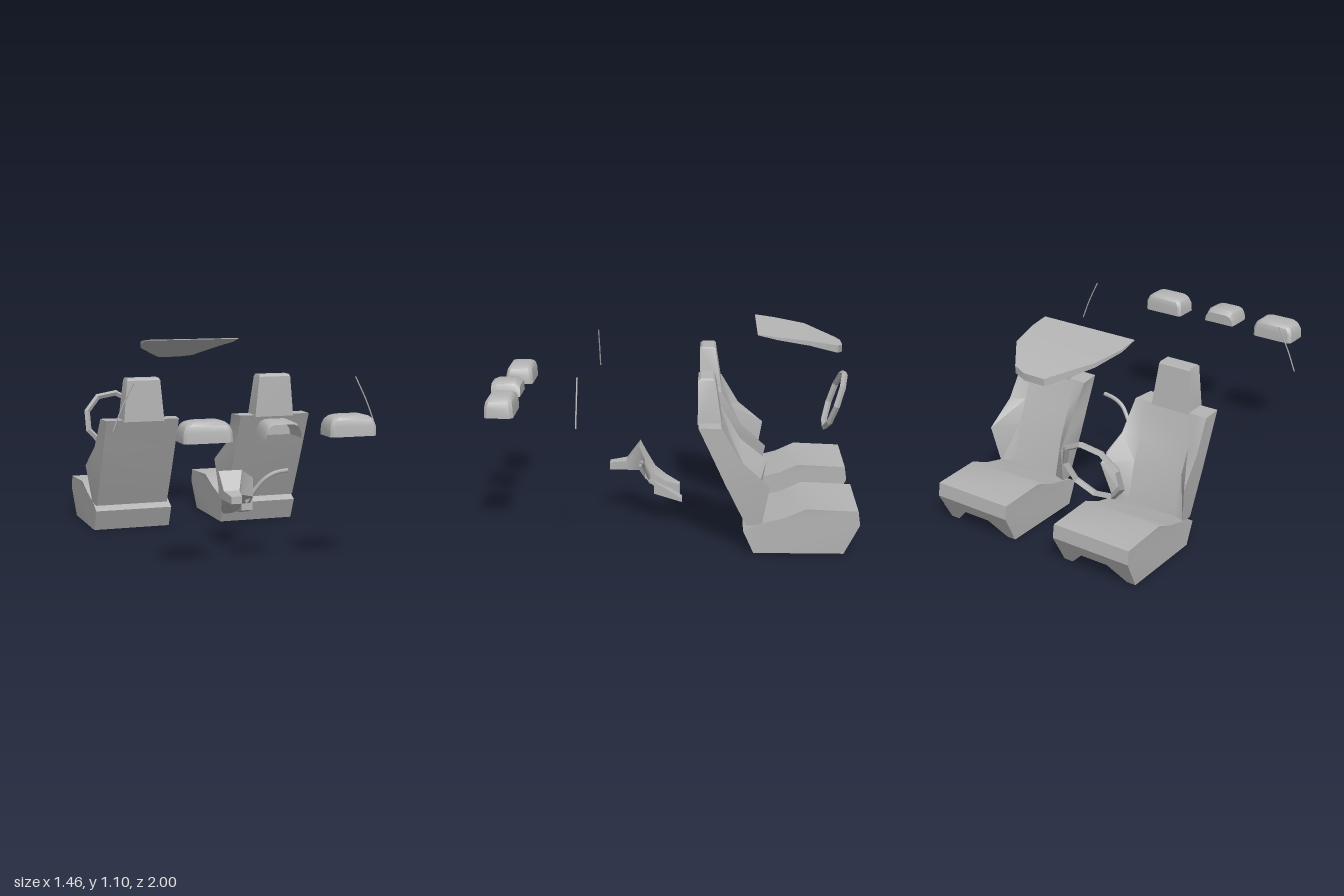
import * as THREE from 'three';
import { toCreasedNormals } from 'three/addons/utils/BufferGeometryUtils.js';

const grey = new THREE.MeshStandardMaterial({ color: 0xb4b4b4, side: THREE.DoubleSide });
grey.name = 'grey trim';

// Skin a series of equal-length rings; caps are optional and the faces are turned outward
function loft(rings, capStart = true, capEnd = true, crease = 0.5) {
  const n = rings[0].length, pos = rings.flat(2), idx = [];
  for (let r = 0; r < rings.length - 1; r++) {
    for (let i = 0; i < n; i++) {
      const j = (i + 1) % n, a = r * n + i, b = r * n + j;
      idx.push(a, b, b + n, a, b + n, a + n);
    }
  }
  const cap = (ring, start, flip) => {
    const c = [0, 1, 2].map(k => ring.reduce((s, p) => s + p[k], 0) / n);
    const m = pos.length / 3;
    pos.push(...c);
    for (let i = 0; i < n; i++) {
      const j = (i + 1) % n;
      idx.push(m, start + (flip ? j : i), start + (flip ? i : j));
    }
  };
  if (capStart) cap(rings[0], 0, true);
  if (capEnd) cap(rings[rings.length - 1], (rings.length - 1) * n, false);
  const v = k => new THREE.Vector3().fromArray(pos, k * 3);
  const mid = rings.flat().reduce((s, p) => s.add(new THREE.Vector3(...p)), new THREE.Vector3())
    .divideScalar(n * rings.length);
  let volume = 0;
  for (let t = 0; t < idx.length; t += 3) {
    const [a, b, c] = [0, 1, 2].map(k => v(idx[t + k]).sub(mid));
    volume += a.dot(b.cross(c));
  }
  if (volume < 0) idx.reverse();
  const g = new THREE.BufferGeometry();
  g.setAttribute('position', new THREE.Float32BufferAttribute(pos, 3));
  g.setIndex(idx);
  return toCreasedNormals(g, crease);
}

function part(name, geometry, parent) {
  const mesh = new THREE.Mesh(geometry, grey);
  mesh.name = name;
  parent.add(mesh);
  return mesh;
}

// Box-like section across x at one z
const section = (z, x0, x1, y0, y1) => [[x0, y0, z], [x1, y0, z], [x1, y1, z], [x0, y1, z]];

// One front seat, facing -z; s is its side, inner the reach of its inner bolster
function seat(s, inner) {
  const g = new THREE.Group();
  g.name = s > 0 ? 'leftSeat' : 'rightSeat';

  // Backrest: back corners, bolster tips and a recessed front panel
  const levels = [
    // y, back z, panel z, bolster z, inner x, outer x
    [0.15, -0.4, -0.45, -0.48, 0.17, 0.61],
    [0.37, -0.29, -0.39, -0.52, inner, 0.64],
    [0.5, -0.23, -0.33, -0.37, inner + 0.035, 0.62],
    [0.67, -0.15, -0.265, -0.27, 0.17, 0.61],
  ];
  part('backrest', loft(levels.map(([y, zb, zp, zt, xi, xo]) => [
    [s * 0.185, y, zb], [s * 0.605, y, zb], [s * xo, y, zt],
    [s * 0.54, y, zp], [s * 0.245, y, zp], [s * xi, y, zt],
  ])), g);

  // Headrest
  const rest = (y, x0, x1, z0, z1) =>
    [[s * x0, y, z0], [s * x1, y, z0], [s * x1, y, z1], [s * x0, y, z1]];
  part('headrest', loft([
    rest(0.66, 0.272, 0.505, -0.145, -0.27),
    rest(0.89, 0.295, 0.485, -0.145, -0.235),
    rest(0.902, 0.3, 0.48, -0.16, -0.225),
  ]), g);

  // Cushion: hollow skin from the rear foot over the top to the front lip
  const profile = [[-0.44, 0], [-0.385, 0.12], [-0.45, 0.155], [-0.6, 0.195],
    [-0.71, 0.245], [-0.98, 0.235], [-0.99, 0.16], [-0.91, 0]];
  const half = [0.225, 0.225, 0.225, 0.225, 0.23, 0.23, 0.232, 0.222];
  const pos = [], idx = [];
  profile.forEach(([z, y], i) => [-1, 1].forEach(e => pos.push(s * 0.387 + e * half[i], y, z)));
  for (let i = 0; i < 6; i++) idx.push(2 * i, 2 * i + 1, 2 * i + 3, 2 * i, 2 * i + 3, 2 * i + 2);
  const outline = profile.map(([z, y]) => new THREE.Vector2(z, y));
  THREE.ShapeUtils.triangulateShape(outline, []).forEach(([a, b, c]) => {
    idx.push(2 * a, 2 * b, 2 * c, 2 * a + 1, 2 * c + 1, 2 * b + 1);
  });
  const skin = new THREE.BufferGeometry();
  skin.setAttribute('position', new THREE.Float32BufferAttribute(pos, 3));
  skin.setIndex(idx);
  part('cushion', toCreasedNormals(skin, 0.5), g);

  // Sloping front apron with a notch underneath
  const apron = new THREE.Shape([[-0.232, 0.18], [-0.222, 0], [-0.17, 0], [-0.08, 0.1],
    [0.08, 0.1], [0.17, 0], [0.222, 0], [0.232, 0.18]].map(p => new THREE.Vector2(...p)));
  const front = part('cushionFront', new THREE.ShapeGeometry(apron), g);
  front.position.set(s * 0.387, 0, -0.91);
  front.rotation.x = -0.46;
  return g;
}

// Hollow rounded rear headrest: chamfered rings shrinking towards the top
function rearHeadrest(name, x0, x1, y0, y1, z0, z1, parent) {
  const h = y1 - y0;
  const ring = (y, dx, dz, c) => {
    const [a, b, p, q] = [x0 + dx, x1 - dx, z0 + dz, z1 - dz];
    return [[a + c, y, p], [b - c, y, p], [b, y, p + c], [b, y, q - c],
      [b - c, y, q], [a + c, y, q], [a, y, q - c], [a, y, p + c]];
  };
  part(name, loft([
    ring(y0, 0, 0, 0.015), ring(y0 + h * 0.5, 0.002, 0.002, 0.015),
    ring(y0 + h * 0.8, 0.015, 0.008, 0.018), ring(y0 + h * 0.94, 0.033, 0.018, 0.018),
    ring(y1, 0.058, 0.03, 0.015),
  ], false, true, 0.7), parent);
}

export function createModel() {
  const model = new THREE.Group();
  model.name = 'cabinInterior';
  model.add(seat(-1, 0.115), seat(1, 0.15));

  // Rear headrests
  rearHeadrest('leftRearHeadrest', 0.255, 0.505, 0.685, 0.79, 0.817, 0.97, model);
  rearHeadrest('rightRearHeadrest', -0.505, -0.255, 0.685, 0.79, 0.817, 0.97, model);

  // Middle headrest: arch open to the rear and below
  const arch = (z, d, t) => [[-0.105, 0.695], [-0.1, 0.735], [-0.085, 0.768], [-0.06, 0.78],
    [0.045, 0.78], [0.07, 0.768], [0.085, 0.735], [0.09, 0.695]]
    .map(([x, y]) => [x * (1 - d), 0.695 + (y - 0.695) * t, z]);
  const bars = [arch(1, 0.06, 0.82), arch(0.97, 0, 0.95), arch(0.87, 0, 1), arch(0.84, 0.02, 0.7)];
  const mp = bars.flat(2), mi = [];
  for (let r = 0; r < 3; r++) {
    for (let i = 0; i < 7; i++) {
      const a = r * 8 + i;
      mi.push(a, a + 8, a + 9, a, a + 9, a + 1);
    }
  }
  for (let i = 1; i < 7; i++) mi.push(24, 24 + i, 25 + i);
  const middle = new THREE.BufferGeometry();
  middle.setAttribute('position', new THREE.Float32BufferAttribute(mp, 3));
  middle.setIndex(mi.reverse());
  part('middleRearHeadrest', toCreasedNormals(middle, 0.7), model);

  // Overhead panel: wedge tapering to a thin edge
  const panel = [
    // z, left x, right x, lower y, upper y
    [-0.455, -0.29, 0.28, 1.09, 1.095], [-0.56, -0.29, 0.28, 1.065, 1.08],
    [-0.73, -0.245, 0.25, 1.03, 1.055], [-0.89, -0.105, 0.13, 0.967, 1.007],
    [-0.92, -0.075, 0.05, 0.957, 0.995],
  ];
  part('overheadPanel', loft(panel.map(p => section(...p))), model);

  // Steering wheel
  const wheel = part('steeringWheel',
    toCreasedNormals(new THREE.TorusGeometry(0.17, 0.018, 4, 9), 0.4), model);
  wheel.position.set(-0.367, 0.58, -0.925);
  wheel.rotation.x = -0.33;

  // Centre console with its trailing arm and small fin
  const body = [
    [0.355, -0.05, 0.01, 0.26, 0.3], [0.26, -0.06, 0.03, 0.265, 0.315],
    [0.185, -0.065, 0.07, 0.275, 0.415], [0.15, -0.03, 0.15, 0.255, 0.36],
    [0.1, -0.015, 0.15, 0.21, 0.28], [0.04, 0, 0.13, 0.17, 0.235],
    [-0.04, 0.04, 0.09, 0.13, 0.2],
  ];
  part('console', loft(body.map(p => section(...p)), true, true, 0.7), model);
  part('consoleFin', loft([section(0.1, 0.1, 0.165, 0.17, 0.24),
    section(-0.055, 0.125, 0.185, 0.13, 0.15)]), model);
  const armPath = new THREE.CatmullRomCurve3([[0.12, 0.22, 0.12], [0.165, 0.29, 0.135],
    [0.22, 0.355, 0.155], [0.28, 0.385, 0.16], [0.35, 0.395, 0.163]]
    .map(p => new THREE.Vector3(...p)));
  part('consoleArm', new THREE.TubeGeometry(armPath, 12, 0.012, 6), model);

  // Thin pillar strips on both sides
  for (const s of [-1, 1]) {
    const path = new THREE.CatmullRomCurve3([[0.724, 0.695], [0.68, 0.805], [0.615, 0.935]]
      .map(([x, y]) => new THREE.Vector3(s * x, y, 0.465)));
    part(s > 0 ? 'leftPillarStrip' : 'rightPillarStrip',
      new THREE.TubeGeometry(path, 6, 0.004, 4), model);
  }
  return model;
}
